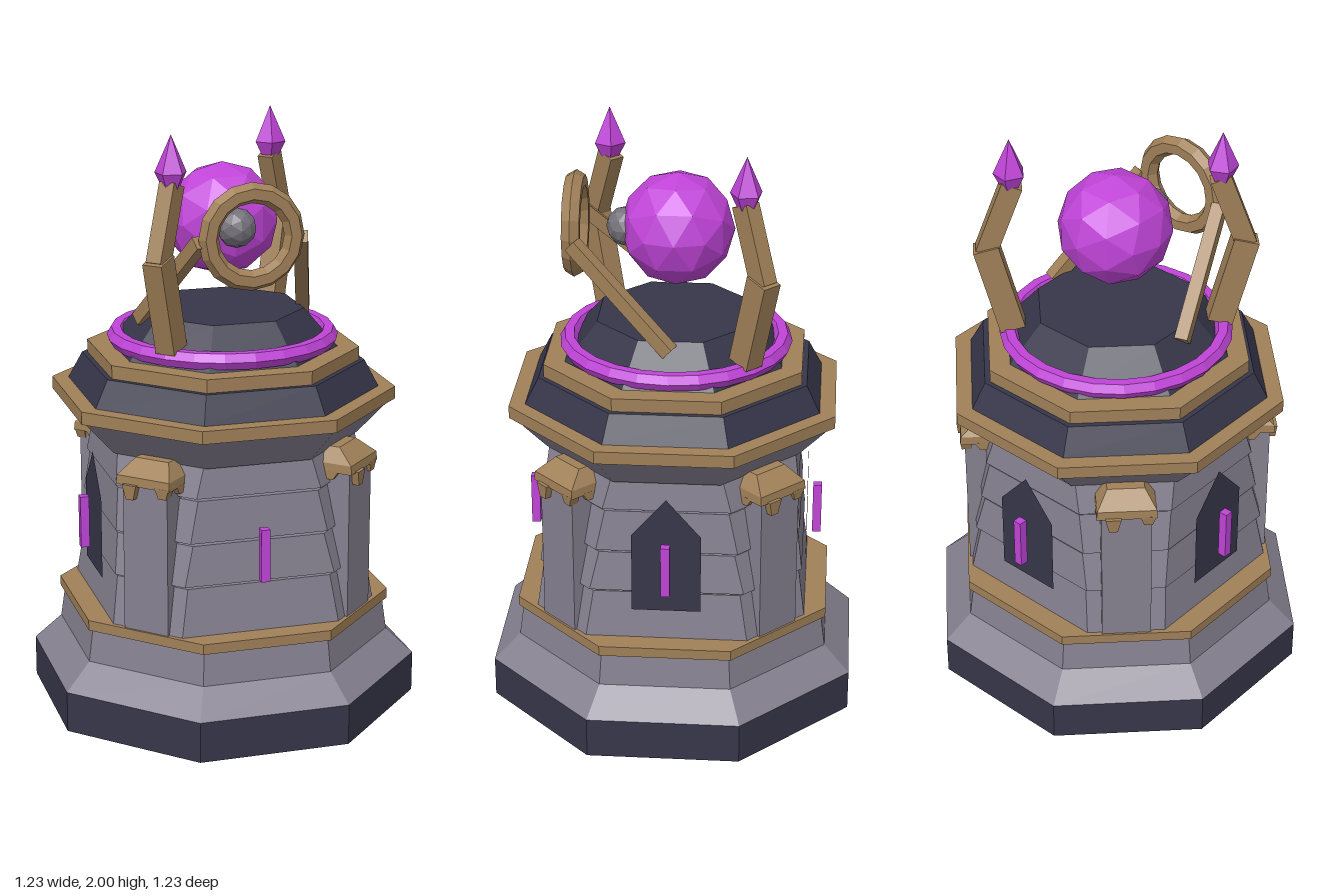
import * as THREE from 'three';
import { ConvexGeometry } from 'three/addons/geometries/ConvexGeometry.js';

const mat = (name, color, extra = {}) => {
  const m = new THREE.MeshStandardMaterial({ color, ...extra });
  m.name = name;
  return m;
};

// Faceted normals for a low-poly look
function flat(geometry) {
  const g = geometry.index ? geometry.toNonIndexed() : geometry;
  g.computeVertexNormals();
  return g;
}

// Octagonal tier with flat sides on the axes; sizes are centre-to-side
function tier(y0, y1, a0, a1) {
  const k = 1 / Math.cos(Math.PI / 8);
  const g = new THREE.CylinderGeometry(a1 * k, a0 * k, y1 - y0, 8);
  g.rotateY(Math.PI / 8).translate(0, (y0 + y1) / 2, 0);
  return flat(g);
}

// Square-ish tapered block: each end is [y, halfX, zBack, zFront]
function block(...ends) {
  const pts = [];
  for (const [y, hx, zb, zf] of ends)
    for (const s of [-1, 1])
      pts.push(new THREE.Vector3(s * hx, y, zb), new THREE.Vector3(s * hx, y, zf));
  return new ConvexGeometry(pts);
}

// Chamfered square course: each end is [y, sideDistance, halfSideWidth]
function course(...ends) {
  const pts = [];
  for (const [y, a, w] of ends)
    for (const s of [-1, 1])
      for (const t of [-1, 1])
        pts.push(new THREE.Vector3(s * a, y, t * w), new THREE.Vector3(s * w, y, t * a));
  return new ConvexGeometry(pts);
}

// Straight beam between two points
function beam(a, b, w, d) {
  const p = new THREE.Vector3(...a), q = new THREE.Vector3(...b);
  const g = new THREE.BoxGeometry(w, d, p.distanceTo(q));
  g.applyMatrix4(new THREE.Matrix4().lookAt(q, p, new THREE.Vector3(0, 1, 0)));
  return g.translate(...p.add(q).multiplyScalar(0.5).toArray());
}

export function createModel() {
  const stone = mat('stone', 0x85808f);
  const dark = mat('darkSlate', 0x37364a);
  const gold = mat('bronze', 0xa08058);
  const glow = mat('violetCrystal', 0xc044d8);
  const iron = mat('greyLens', 0x74717a);

  const model = new THREE.Group();
  model.name = 'orbTower';
  const add = (name, geometry, material, parent = model) => {
    const mesh = new THREE.Mesh(geometry, material);
    mesh.name = name;
    parent.add(mesh);
    return mesh;
  };

  // Stepped base, cornice and roof
  const tiers = [
    ['foundation', 0, 0.14, 0.617, 0.617, dark],
    ['plinthSlope', 0.14, 0.228, 0.617, 0.53, stone],
    ['plinth', 0.228, 0.34, 0.53, 0.515, stone],
    ['baseTrim', 0.34, 0.375, 0.53, 0.53, gold],
    ['cornice', 0.94, 1.062, 0.425, 0.53, stone],
    ['corniceTrim', 1.062, 1.105, 0.542, 0.542, gold],
    ['roofSlope', 1.105, 1.195, 0.49, 0.445, dark],
    ['roofTrim', 1.195, 1.24, 0.428, 0.428, gold],
    ['roofCap', 1.24, 1.37, 0.36, 0.255, dark],
  ];
  for (const [name, y0, y1, a0, a1, m] of tiers) add(name, tier(y0, y1, a0, a1), m);

  // Stone courses with narrow open joints
  const courses = [
    [0.375, 0.535, 0.457, 0.435, 0.27, 0.245],
    [0.545, 0.68, 0.445, 0.428, 0.257, 0.225],
    [0.69, 0.83, 0.435, 0.42, 0.235, 0.205],
    [0.84, 0.94, 0.428, 0.415, 0.212, 0.185],
  ];
  for (const [y0, y1, a0, a1, w0, w1] of courses)
    add('wallCourse', course([y0, a0, w0], [y1, a1, w1]), stone);

  // Corner pillars with clawed caps
  for (let i = 0; i < 4; i++) {
    const corner = new THREE.Group();
    corner.name = 'cornerPillar';
    corner.rotation.y = Math.PI / 4 + i * Math.PI / 2;
    model.add(corner);
    add('pillar', block([0.375, 0.083, 0.36, 0.523], [0.88, 0.083, 0.36, 0.523]), stone, corner);
    add('pillarCap', block([0.88, 0.1, 0.35, 0.538], [0.91, 0.098, 0.35, 0.535], [0.958, 0.062, 0.37, 0.475]), gold, corner);
    for (const [x, y, z] of [[-0.045, 0.835, 0.55], [0.07, 0.85, 0.538]])
      add('capClaw', block([y, 0.014, 0.5, z - 0.004], [0.885, 0.026, 0.5, z]).translate(x, 0, 0), gold, corner);
    for (const s of [-1, 1])
      add('capSideClaw', block([0.855, 0.012, 0.42, 0.47], [0.885, 0.012, 0.41, 0.49]).translate(s * 0.088, 0, 0), gold, corner);
  }

  // Pointed window panels on three sides, glowing slits on all four
  const arch = new THREE.Shape([[-0.115, 0.48], [0.115, 0.48], [0.115, 0.76], [0, 0.895], [-0.115, 0.76]]
    .map(([x, y]) => new THREE.Vector2(x, y)));
  for (let i = 0; i < 4; i++) {
    const side = new THREE.Group();
    side.name = 'towerSide';
    side.rotation.y = i * Math.PI / 2;
    model.add(side);
    if (i > 0) add('windowPanel', new THREE.ShapeGeometry(arch).translate(0, 0, 0.456), dark, side);
    add('glowingSlit', new THREE.BoxGeometry(0.03, 0.18, 0.03).translate(0, 0.65, 0.49), glow, side);
  }

  // Glowing ring around the roof cap
  add('roofRing', flat(new THREE.TorusGeometry(0.36, 0.031, 6, 24).rotateX(Math.PI / 2).translate(0, 1.275, 0)), glow);

  // Floating orb with a grey lens
  add('orb', flat(new THREE.IcosahedronGeometry(0.19, 1).translate(0, 1.67, -0.005)), glow);
  add('lens', flat(new THREE.IcosahedronGeometry(0.066, 1).translate(0, 1.67, 0.165)), iron);

  // Sighting ring and its two support arms
  add('sightRing', flat(new THREE.TorusGeometry(0.143, 0.034, 6, 16).translate(0, 1.675, 0.333)), gold);
  for (const s of [-1, 1])
    add('ringArm', beam([s * 0.168, 1.665, 0.325], [s * 0.285, 1.345, 0], 0.045, 0.045), gold);

  // Two bent prongs tipped with crystals
  for (const angle of [-Math.PI / 4, Math.PI * 3 / 4]) {
    const prong = new THREE.Group();
    prong.name = 'prong';
    prong.rotation.y = angle;
    model.add(prong);
    add('prongLower', beam([0, 1.3, 0.345], [0, 1.61, 0.425], 0.07, 0.085), gold, prong);
    add('prongUpper', beam([0, 1.595, 0.425], [0, 1.84, 0.335], 0.055, 0.07), gold, prong);
    const tip = [[0, 1.825], [0.028, 1.825], [0.054, 1.878], [0, 2]].map(([x, y]) => new THREE.Vector2(x, y));
    add('prongCrystal', flat(new THREE.LatheGeometry(tip, 5).translate(0, 0, 0.34)), glow, prong);
  }

  return model;
}
